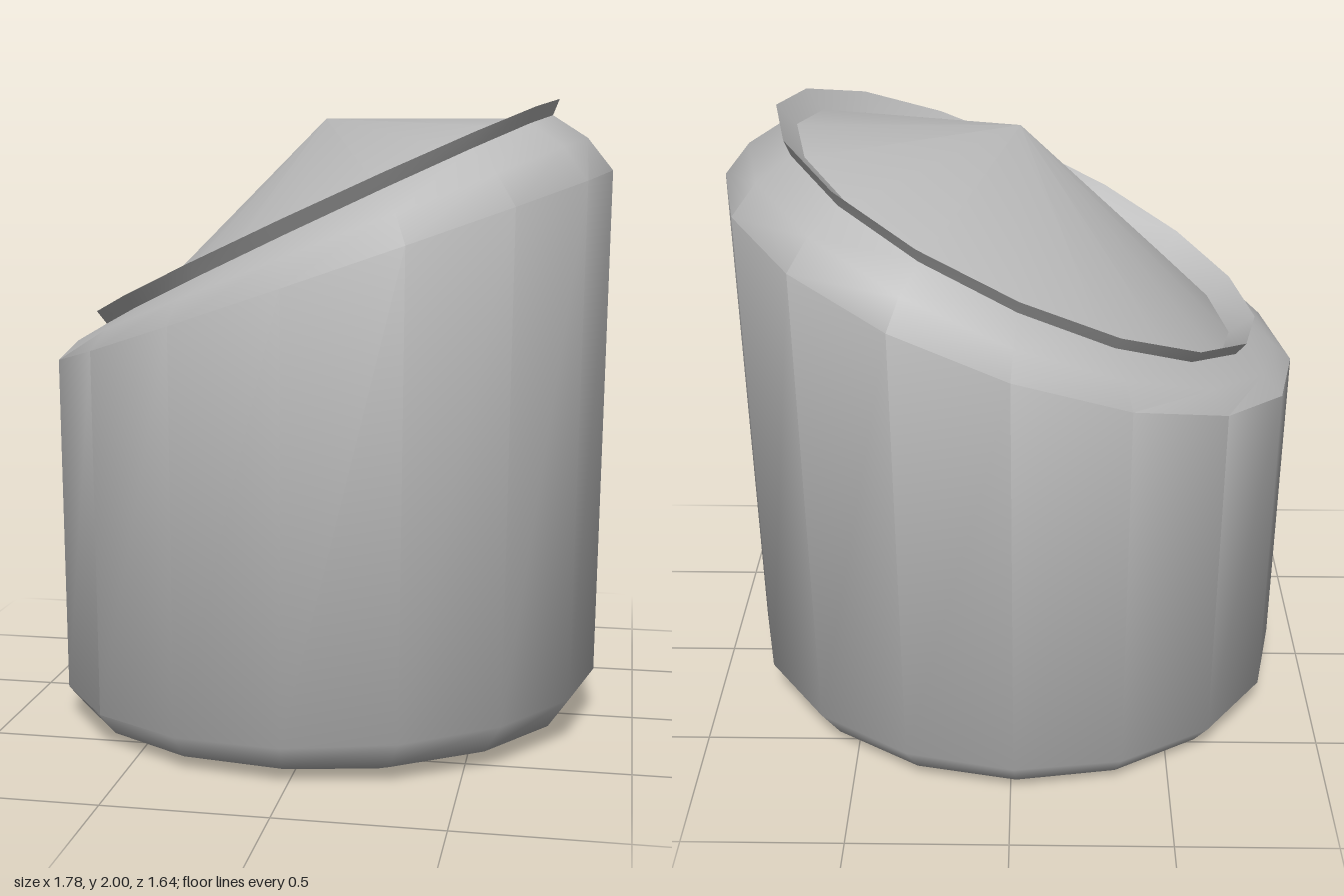
import * as THREE from 'three';
import { toCreasedNormals } from 'three/addons/utils/BufferGeometryUtils.js';

const SIDES = 16;

// Tilted oval ring given by its left end, right end and half depth: [xl, yl, xr, yr, rz]
function ringPoints([xl, yl, xr, yr, rz]) {
  const points = [];
  for (let i = 0; i < SIDES; i++) {
    const t = (i / SIDES) * Math.PI * 2;
    const k = (1 + Math.cos(t)) / 2;
    points.push(xl + (xr - xl) * k, yl + (yr - yl) * k, rz * Math.sin(t));
  }
  return points;
}

// Skin a stack of rings; a ring with zero size closes the end to a point
function loft(rings, crease) {
  const positions = rings.flatMap(ringPoints);
  const index = [];
  const isPoint = (r) => r[0] === r[2] && r[4] === 0;
  for (let r = 0; r < rings.length - 1; r++) {
    for (let i = 0; i < SIDES; i++) {
      const j = (i + 1) % SIDES;
      const a = r * SIDES + i, b = r * SIDES + j;
      const c = a + SIDES, d = b + SIDES;
      if (!isPoint(rings[r])) index.push(a, c, b);
      if (!isPoint(rings[r + 1])) index.push(b, c, d);
    }
  }
  const geometry = new THREE.BufferGeometry();
  geometry.setAttribute('position', new THREE.Float32BufferAttribute(positions, 3));
  geometry.setIndex(index);
  return toCreasedNormals(geometry, crease);
}

export function createModel() {
  const group = new THREE.Group();
  group.name = 'slantedCanister';
  const grey = new THREE.MeshStandardMaterial({ color: 0xb8b8b8, side: THREE.DoubleSide });
  grey.name = 'grey';

  const add = (name, rings, crease) => {
    const mesh = new THREE.Mesh(loft(rings, crease), grey);
    mesh.name = name;
    group.add(mesh);
  };

  const seat = [-0.74, 1.27, 0.70, 1.95, 0.66];
  const lip = [-0.77, 1.31, 0.72, 2.0, 0.69];
  const lidEdge = [-0.69, 1.255, 0.66, 1.94, 0.615];

  // Body: closed base, rounded foot, straight wall, slanted shoulder
  add('body', [
    [-0.02, 0.005, -0.02, 0.005, 0],
    [-0.72, 0, 0.68, 0.01, 0.65],
    [-0.835, 0.035, 0.80, 0.06, 0.755],
    [-0.89, 0.10, 0.87, 0.16, 0.81],
    [-0.895, 1.16, 0.89, 1.78, 0.82],
    [-0.83, 1.22, 0.81, 1.88, 0.765],
    seat,
  ], 0.75);

  // Flared collar around the slanted opening
  add('collar', [seat, lip, lidEdge], 0.6);

  // Conical lid rising from inside the collar
  add('lid', [lidEdge, [-0.02, 1.94, -0.02, 1.94, 0]], 0.8);

  return group;
}
